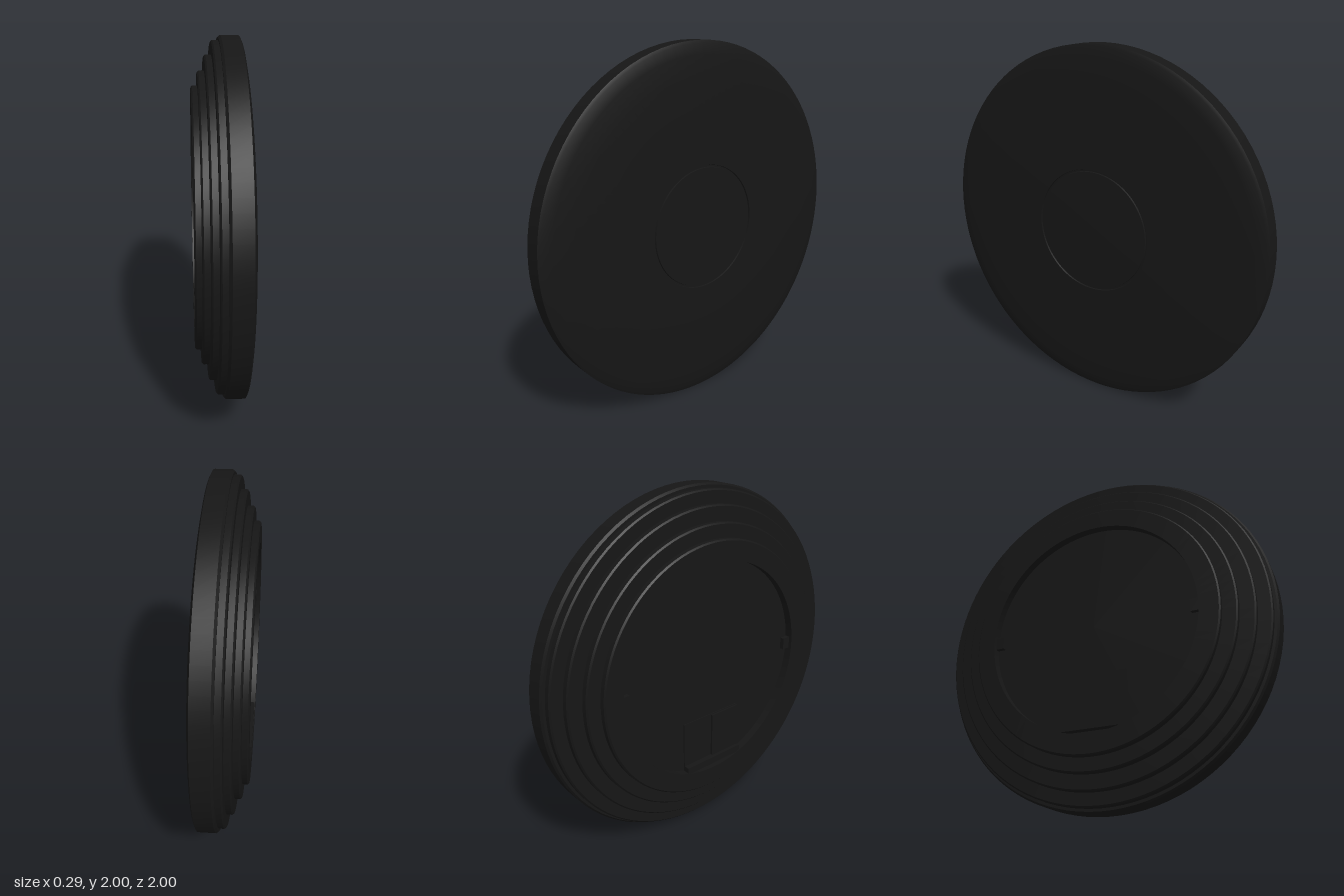
import * as THREE from 'three';
import { toCreasedNormals } from 'three/addons/utils/BufferGeometryUtils.js';

const material = new THREE.MeshStandardMaterial({ color: 0x161616 });

// Profile points are [radius, x]; the lathe axis is laid along x
function disc(name, profile) {
  const points = profile.map(([r, x]) => new THREE.Vector2(r, x));
  const geometry = toCreasedNormals(new THREE.LatheGeometry(points, 96), 0.5);
  geometry.rotateZ(-Math.PI / 2);
  const mesh = new THREE.Mesh(geometry, material);
  mesh.name = name;
  return mesh;
}

function block(name, size, position) {
  const mesh = new THREE.Mesh(new THREE.BoxGeometry(...size), material);
  mesh.name = name;
  mesh.position.set(...position);
  return mesh;
}

export function createModel() {
  const group = new THREE.Group();
  group.name = 'roundDetector';
  const body = new THREE.Group();
  body.name = 'body';
  body.position.y = 1;
  group.add(body);

  // Mounting side: shallow recess, then four rounded steps out to the rim
  const housing = [[0, -0.1], [0.62, -0.1], [0.62, -0.147]];
  const steps = [[0.735, -0.147], [0.815, -0.112], [0.9, -0.075], [0.975, -0.038]];
  steps.forEach(([r, x], i) => {
    const next = i < 3 ? steps[i + 1][1] : 0;
    housing.push([r - 0.008, x], [r, x + 0.008], [r, next]);
  });
  // Rim and domed cover, with a thin groove around the central button
  housing.push(
    [0.99, 0], [1, 0.012], [1, 0.108], [0.985, 0.115], [0.93, 0.125],
    [0.82, 0.135], [0.65, 0.142], [0.5, 0.145], [0.35, 0.146],
    [0.348, 0.138], [0.338, 0.138], [0.336, 0.146], [0.2, 0.147], [0, 0.147]
  );
  body.add(disc('housing', housing));

  // Connector at the bottom of the recess
  body.add(block('connectorPlate', [0.02, 0.29, 0.4], [-0.098, -0.43, 0]));
  body.add(block('connectorBlock', [0.03, 0.28, 0.2], [-0.105, -0.43, 0.1]));
  body.add(block('connectorLedge', [0.045, 0.04, 0.4], [-0.12, -0.575, 0]));

  // Small locking tabs on either side of the recess
  for (const side of [-1, 1]) {
    body.add(block('lockingTab', [0.025, 0.07, 0.05], [-0.115, 0, side * 0.595]));
  }
  return group;
}
